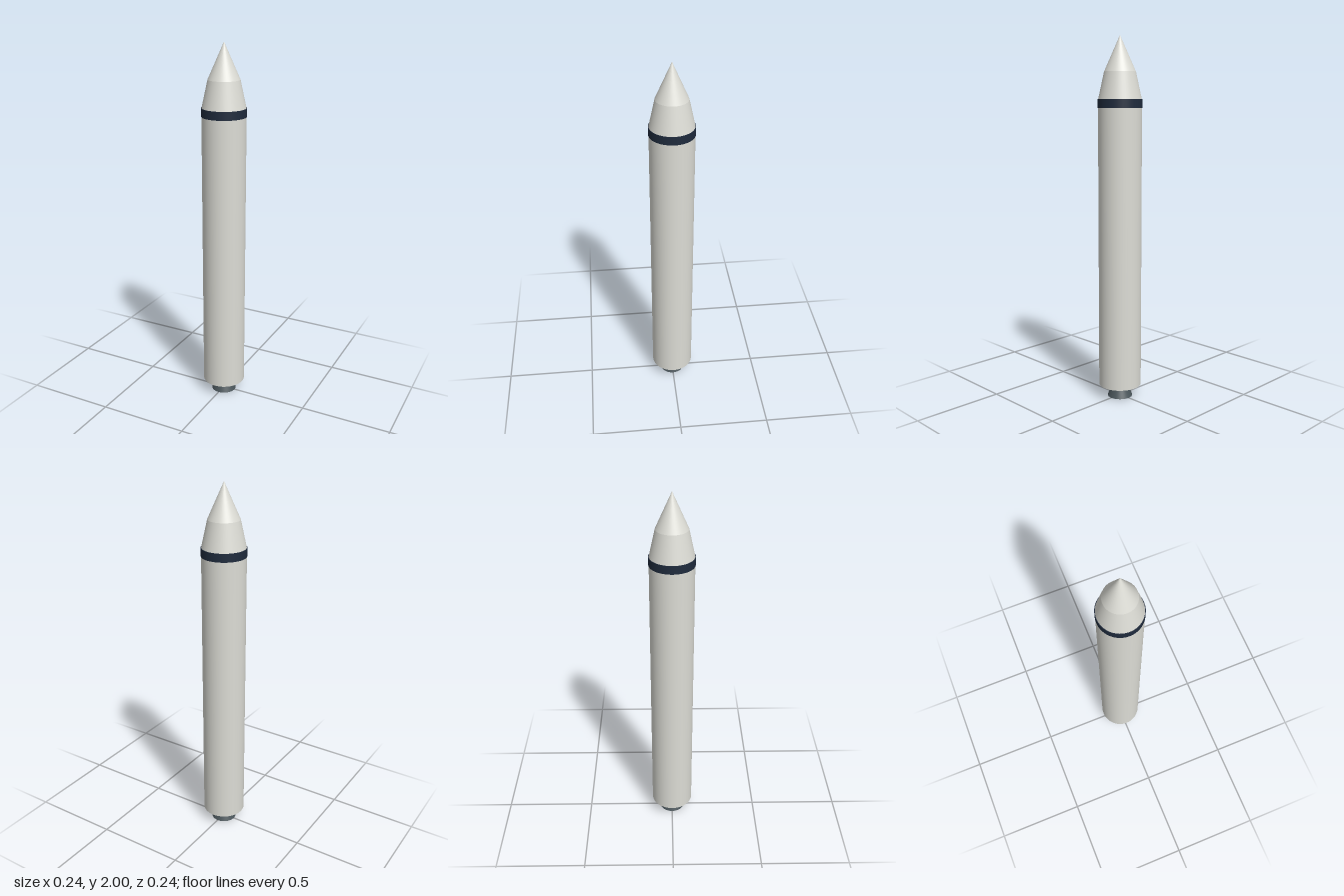
import * as THREE from 'three';

const SEGMENTS = 48;

export function createModel() {
  const rocket = new THREE.Group();
  rocket.name = 'rocket';

  const paint = (name, color) => {
    const material = new THREE.MeshStandardMaterial({ color });
    material.name = name;
    return material;
  };
  const white = paint('warmWhite', 0xdcdcd5);
  const navy = paint('navy', 0x1f2b3d);
  const steel = paint('darkSteel', 0x4a555a);

  // Adds a round section running from height y0 (radius r0) to y1 (radius r1)
  const section = (name, material, y0, y1, r0, r1 = r0) => {
    const geometry = new THREE.CylinderGeometry(r1, r0, y1 - y0, SEGMENTS);
    const mesh = new THREE.Mesh(geometry, material);
    mesh.name = name;
    mesh.position.y = (y0 + y1) / 2;
    rocket.add(mesh);
  };

  // Engine bell, flaring down below the tank
  section('engineNozzle', steel, 0, 0.07, 0.07, 0.042);

  // Main body and the slightly proud band on top of it
  section('body', white, 0.07, 1.62, 0.118);
  section('band', navy, 1.62, 1.665, 0.12);

  // Two-stage nose: tapered shoulder, then a pointed tip
  section('noseShoulder', white, 1.665, 1.81, 0.117, 0.085);
  section('noseTip', white, 1.81, 2, 0.085, 0);

  return rocket;
}
